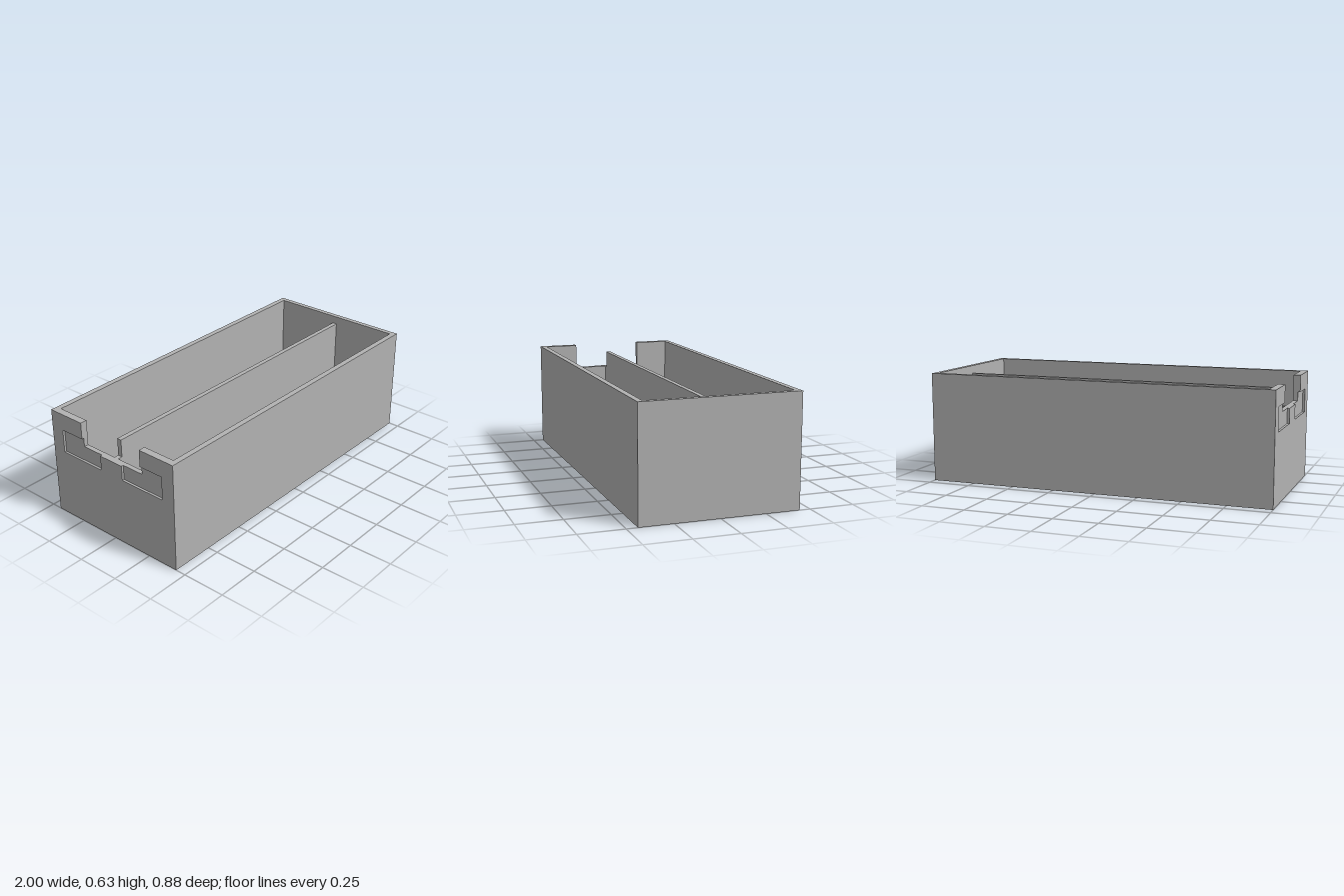
import * as THREE from 'three';

const H = 0.627, W = 0.44, WI = 0.408;     // height, outer and inner half depth
const X0 = -0.96, X1 = 0.97;               // inner ends
const FLOOR = 0.03, SILL = 0.48;           // floor thickness, notch bottom

export function createModel() {
  const group = new THREE.Group();
  const grey = new THREE.MeshStandardMaterial({ color: 0xb2b2b2 });

  const add = (name, geometry) => {
    const mesh = new THREE.Mesh(geometry, grey);
    mesh.name = name;
    group.add(mesh);
  };
  const box = (name, x0, x1, y0, y1, z0, z1) => add(name,
    new THREE.BoxGeometry(x1 - x0, y1 - y0, z1 - z0)
      .translate((x0 + x1) / 2, (y0 + y1) / 2, (z0 + z1) / 2));
  const shapeOf = pts => new THREE.Shape(pts.map(p => new THREE.Vector2(...p)));
  const extrude = (shape, depth) =>
    new THREE.ExtrudeGeometry(shape, { depth, bevelEnabled: false, curveSegments: 16 });

  // Floor with a row of drain holes under the front compartment
  const floor = shapeOf([[X0, -WI], [X1, -WI], [X1, WI], [X0, WI]]);
  for (let i = 0; i < 7; i++) {
    const hole = new THREE.Path();
    hole.absarc(-0.794 + i * 0.2467, -0.219, 0.032, 0, Math.PI * 2, true);
    floor.holes.push(hole);
  }
  add('floor', extrude(floor, FLOOR).rotateX(-Math.PI / 2));

  // Plain walls
  box('frontWall', X0, X1, 0, H, WI, W);
  box('backWall', X0, X1, 0, H, -W, -WI);
  box('leftEndWall', X1, 1, 0, H, -W, W);

  // Notched end wall in two layers; the outer one also has two shallow recesses
  const endLayer = (name, half, x, depth) => {
    const mirrored = half.map(([z, y]) => [-z, y]).reverse();
    add(name, extrude(shapeOf([...half, ...mirrored]), depth)
      .rotateY(Math.PI / 2).translate(x, 0, 0));
  };
  const notch = [[W, 0], [W, H], [0.211, H]];
  endLayer('notchedWallInner', [...notch, [0.211, SILL]], -0.987, 0.027);
  endLayer('notchedWallOuter', [...notch, [0.211, 0.53], [0.36, 0.53],
    [0.36, 0.395], [0.078, 0.395], [0.078, SILL]], -1, 0.013);

  // Lower divider, stepped down beside the notch
  const divider = shapeOf([[X0, FLOOR], [X1, FLOOR], [X1, 0.58],
    [-0.933, 0.58], [-0.933, SILL], [X0, SILL]]);
  add('divider', extrude(divider, 0.027).translate(0, 0, -0.0135));

  return group;
}
